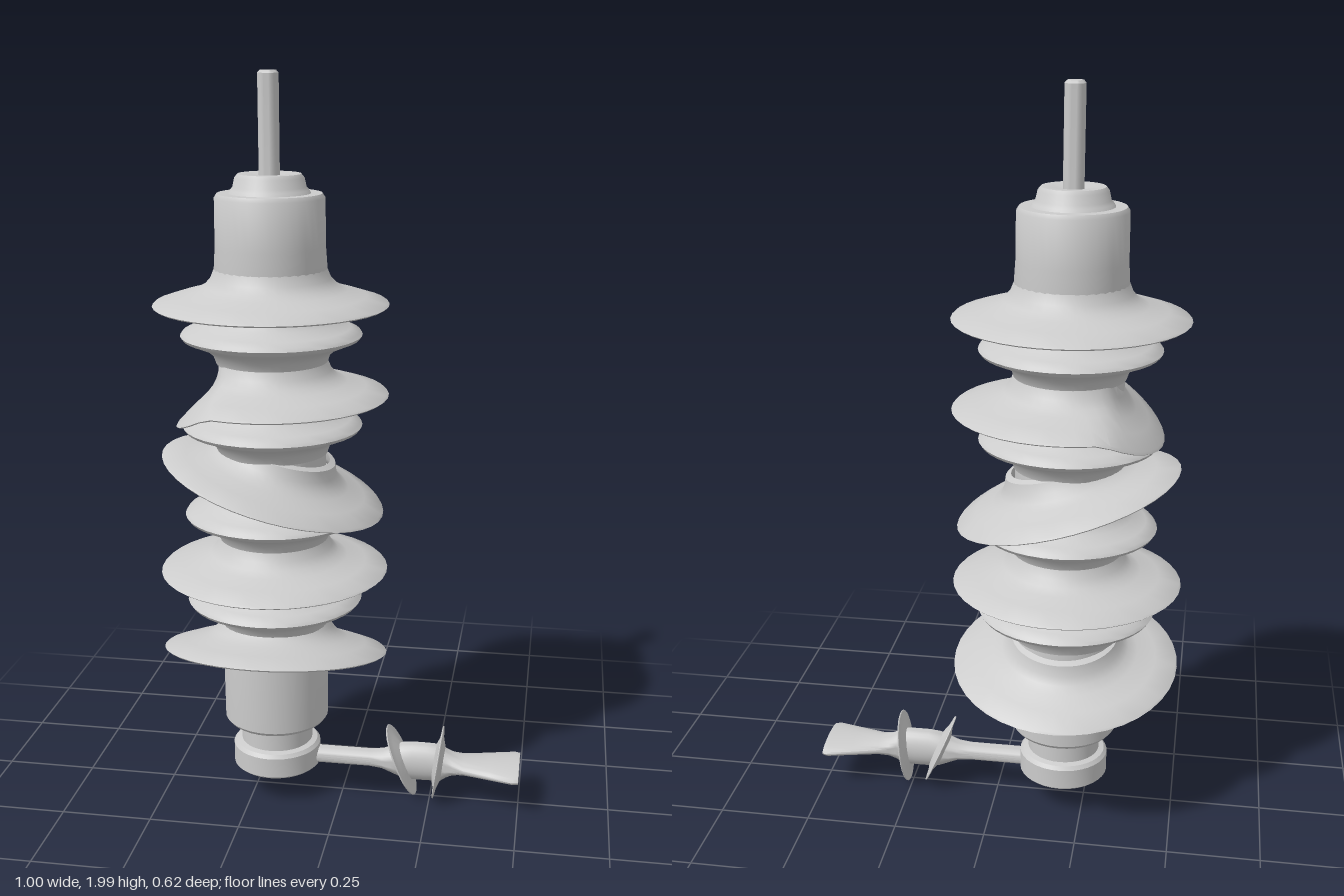
import * as THREE from 'three';
import { toCreasedNormals } from 'three/addons/utils/BufferGeometryUtils.js';

const material = new THREE.MeshStandardMaterial({ color: 0xcccccc, side: THREE.DoubleSide });
const AXIS = -0.19;

function add(parent, name, geometry, crease = 0.6) {
  const mesh = new THREE.Mesh(toCreasedNormals(geometry, crease), material);
  mesh.name = name;
  parent.add(mesh);
  return mesh;
}

// Profile points run from bottom to top: [radius, height]
function lathe(points, segments = 36) {
  return new THREE.LatheGeometry(points.map(([r, y]) => new THREE.Vector2(r, y)), segments);
}

// Moves every vertex of a geometry by a rule
function reshape(geometry, rule) {
  const pos = geometry.attributes.position;
  const v = new THREE.Vector3();
  for (let i = 0; i < pos.count; i++) {
    rule(v.fromBufferAttribute(pos, i));
    pos.setXYZ(i, v.x, v.y, v.z);
  }
  return geometry;
}

// Loft of ellipses along x: [x, half height, half depth]
function ellipseLoft(sections, segments = 28) {
  const n = sections.length - 1;
  const g = new THREE.CylinderGeometry(1, 1, 1, segments, n);
  return reshape(g, (v) => {
    const [x, ry, rz] = sections[Math.round((v.y + 0.5) * n)];
    v.set(x, -v.x * ry, v.z * rz);
  });
}

// Wide thin skirt, rim at height 0
const wideShed = () => lathe([
  [0.13, -0.03], [0.147, -0.022], [0.165, -0.004], [0.2, 0], [0.305, -0.004],
  [0.31, 0], [0.305, 0.005], [0.25, 0.023], [0.2, 0.037], [0.175, 0.05], [0.158, 0.068], [0.147, 0.095], [0.13, 0.1],
], 40);

// Narrow blunt skirt, rim at height 0
const narrowShed = () => lathe([
  [0.13, -0.08], [0.147, -0.075], [0.155, -0.052], [0.175, -0.034], [0.21, -0.019], [0.234, -0.009],
  [0.24, 0], [0.234, 0.009], [0.21, 0.019], [0.175, 0.036], [0.155, 0.055], [0.147, 0.075], [0.13, 0.08],
], 40);

export function createModel() {
  const model = new THREE.Group();
  model.name = 'insulator';

  const column = new THREE.Group();
  column.name = 'column';
  column.position.x = AXIS;
  model.add(column);

  // Base foot, neck, core, cap and top rod
  add(column, 'baseFoot', lathe([
    [0, 0.085], [0.115, 0.085], [0.123, 0.092], [0.123, 0.148], [0.115, 0.158], [0.1, 0.162], [0.1, 0.24], [0, 0.24],
  ]));
  add(column, 'core', lathe([
    [0, 0.228], [0.137, 0.228], [0.145, 0.238], [0.147, 0.5], [0.142, 0.56], [0.142, 1.4],
    [0.148, 1.5], [0.144, 1.56], [0.143, 1.685], [0.136, 1.696], [0, 1.696],
  ]));
  add(column, 'cap', lathe([
    [0.11, 1.69], [0.102, 1.704], [0.095, 1.712], [0.09, 1.735], [0.082, 1.745], [0.055, 1.745], [0.03, 1.738], [0, 1.738],
  ]));
  add(column, 'topRod', lathe([[0.027, 1.73], [0.027, 1.993], [0.021, 2], [0, 2]], 24));

  // Level sheds
  for (const y of [0.595, 0.84, 1.085, 1.33]) add(column, 'narrowShed', narrowShed()).position.y = y;
  for (const y of [0.678, 1.41]) add(column, 'wideShed', wideShed()).position.y = y;

  // Shed with one side folded down
  const fold = -0.11;
  const folded = reshape(wideShed(), (v) => {
    if (v.x >= fold) return;
    const d = fold - v.x;
    v.x = fold - 0.7 * d;
    v.y -= 0.39 * d;
  });
  add(column, 'foldedShed', folded).position.y = 1.168;

  // Tilted sheds
  const middle = add(column, 'tiltedShed', wideShed());
  middle.position.y = 0.925;
  middle.rotation.z = -0.285;
  const lowest = add(column, 'lowestShed', wideShed());
  lowest.position.y = 0.435;
  lowest.rotation.x = -0.22;

  // Side arm with a swollen hub and a flat flared blade
  const arm = new THREE.Group();
  arm.name = 'sideArm';
  arm.position.y = 0.113;
  model.add(arm);
  add(arm, 'armBody', ellipseLoft([
    [-0.09, 0.023, 0.03], [0.08, 0.023, 0.03], [0.115, 0.027, 0.034], [0.14, 0.038, 0.038], [0.17, 0.052, 0.038],
    [0.2, 0.056, 0.038], [0.24, 0.056, 0.038], [0.28, 0.055, 0.036], [0.295, 0.042, 0.038], [0.315, 0.03, 0.042],
    [0.345, 0.022, 0.05], [0.42, 0.021, 0.071], [0.485, 0.021, 0.088], [0.5, 0.021, 0.083],
  ]), 0.8);

  // Small oval sheds on the arm: [x, lean]
  for (const [x, lean] of [[0.168, 0.41], [0.272, -0.12]]) {
    const g = lathe([
      [0.02, -0.016], [0.05, -0.012], [0.075, -0.004], [0.106, -0.002],
      [0.108, 0], [0.106, 0.002], [0.075, 0.006], [0.05, 0.014], [0.02, 0.018],
    ], 32);
    g.scale(1, 1, 0.75).rotateZ(-Math.PI / 2);
    const shed = add(arm, 'armShed', g);
    shed.position.x = x;
    shed.rotation.z = lean;
  }
  return model;
}
